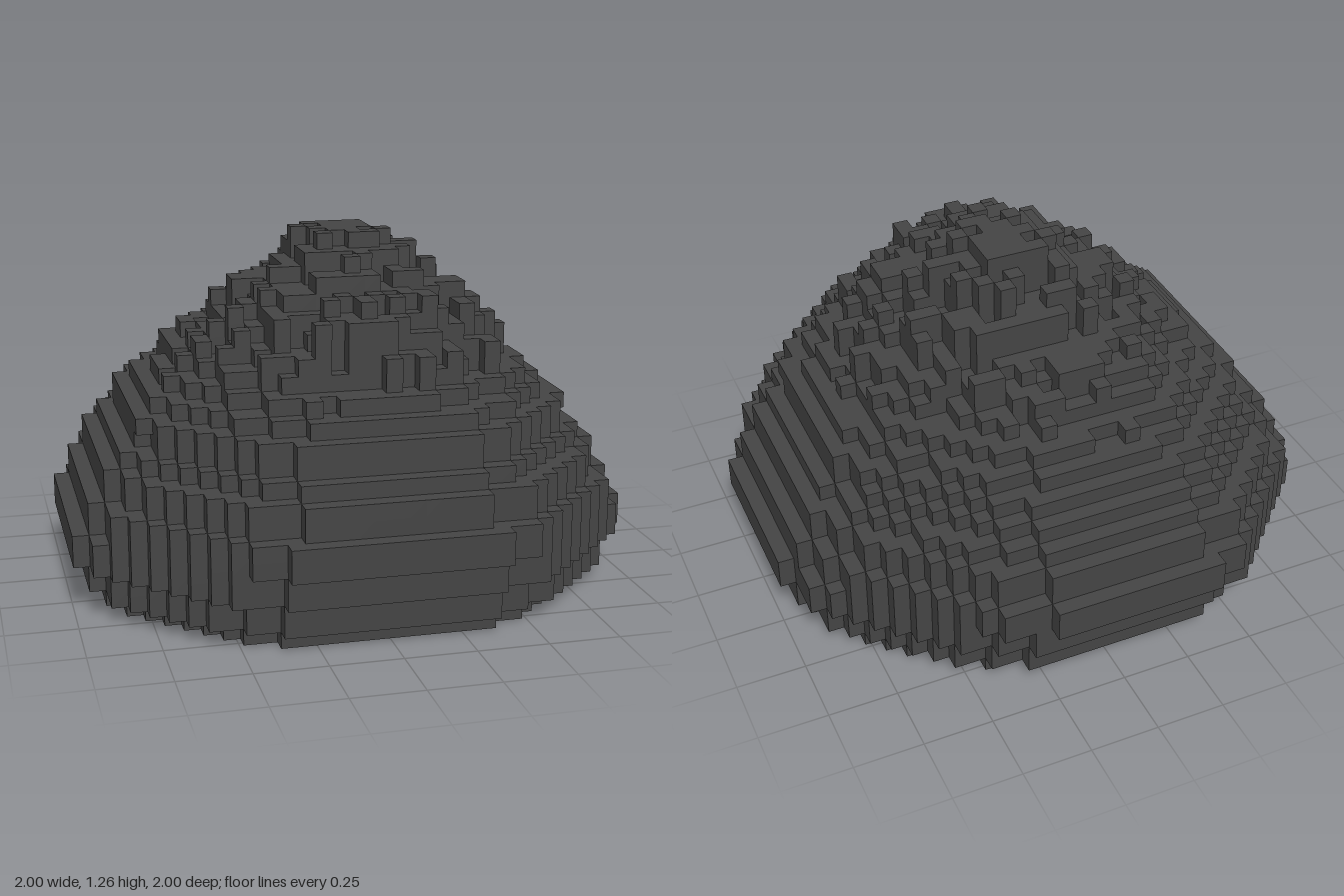
import * as THREE from 'three';
import { mergeGeometries } from 'three/addons/utils/BufferGeometryUtils.js';

const N = 35;          // cubes across
const U = 2 / N;       // cube size

// Half-extent of each one-cube layer, bottom to top, in cubes
const LEFT = [15.5, 16.5, 16.5, 17.5, 17.5, 16.5, 16.5, 15.5, 15.5, 14.5, 13.5, 13.5, 12.5, 11.5, 10.5, 10.5, 9.5, 8.5, 7.5, 6.5, 5.5, 3.5];
const RIGHT = [15.5, 16.5, 16.5, 17.5, 17.5, 16.5, 16.5, 15.5, 15.5, 14.5, 13.5, 13.5, 12.5, 11.5, 10.5, 9.5, 8.5, 7.5, 6.5, 4.5, 3.5, 2.5];
const FRONT = [14.5, 15.5, 15.5, 16.5, 16.5, 17.5, 17.5, 16.5, 16.5, 15.5, 14.5, 14.5, 13.5, 12.5, 11.5, 11.5, 10.5, 10.5, 9.5, 6.5, 5.5, 3.5];
const BACK = [14.5, 15.5, 15.5, 16.5, 16.5, 17.5, 17.5, 16.5, 16.5, 15.5, 14.5, 13.5, 12.5, 11.5, 10.5, 9.5, 8.5, 6.5, 6.5, 4.5, 4.5, 3.5];
const H = LEFT.length;

// Repeatable value in 0..1 for a column of cubes
function hash(x, z) {
  let n = Math.imul(x + 101, 374761393) ^ Math.imul(z + 57, 668265263);
  n = Math.imul(n ^ (n >>> 13), 1274126177);
  return ((n ^ (n >>> 16)) >>> 0) / 4294967296;
}

// Blunt octagonal outline, rounder at the back left corner
function outline(u, v, round) {
  const p = round ? 2 : 2.3, chamfer = round ? 1.38 : 1.43;
  u = Math.abs(u);
  v = Math.abs(v);
  return Math.max((u ** p + v ** p) ** (1 / p), (u + v) / chamfer);
}

// Layers grow ragged towards the peak
function solid(x, y, z) {
  if (y < 0 || y >= H) return false;
  if (x > LEFT[y] || x < -RIGHT[y] || z > FRONT[y] || z < -BACK[y]) return false;
  const a = (LEFT[y] + RIGHT[y]) / 2 + 0.25, b = (FRONT[y] + BACK[y]) / 2 + 0.25;
  const dx = x - (LEFT[y] - RIGHT[y]) / 2, dz = z - (FRONT[y] - BACK[y]) / 2;
  const rough = 0.8 * Math.max(0, (y - 11) / (H - 12)) ** 1.5;
  return outline(dx / a, dz / b, dx > 0 && dz < 0) + rough * hash(x, z) ** 1.5 < 1;
}

// One square per cube side, facing outwards
const SIDES = [
  [1, 0, 0], [-1, 0, 0], [0, 1, 0], [0, -1, 0], [0, 0, 1], [0, 0, -1],
].map(([dx, dy, dz]) => {
  const face = new THREE.PlaneGeometry(U, U).translate(0, 0, U / 2);
  if (dx) face.rotateY(dx * Math.PI / 2);
  if (dy) face.rotateX(-dy * Math.PI / 2);
  if (dz < 0) face.rotateY(Math.PI);
  return { dx, dy, dz, face };
});

// Only the exposed sides of the cubes
function moundGeometry() {
  const faces = [];
  const R = (N - 1) / 2;
  for (let y = 0; y < H; y++)
    for (let x = -R; x <= R; x++)
      for (let z = -R; z <= R; z++) {
        if (!solid(x, y, z)) continue;
        for (const { dx, dy, dz, face } of SIDES)
          if (!solid(x + dx, y + dy, z + dz))
            faces.push(face.clone().translate(x * U, (y + 0.5) * U, z * U));
      }
  return mergeGeometries(faces);
}

export function createModel() {
  const group = new THREE.Group();
  group.name = 'rockMound';
  const stone = new THREE.MeshStandardMaterial({ color: 0x444444 });
  stone.name = 'dark grey stone';
  const mound = new THREE.Mesh(moundGeometry(), stone);
  mound.name = 'mound';
  group.add(mound);
  return group;
}
